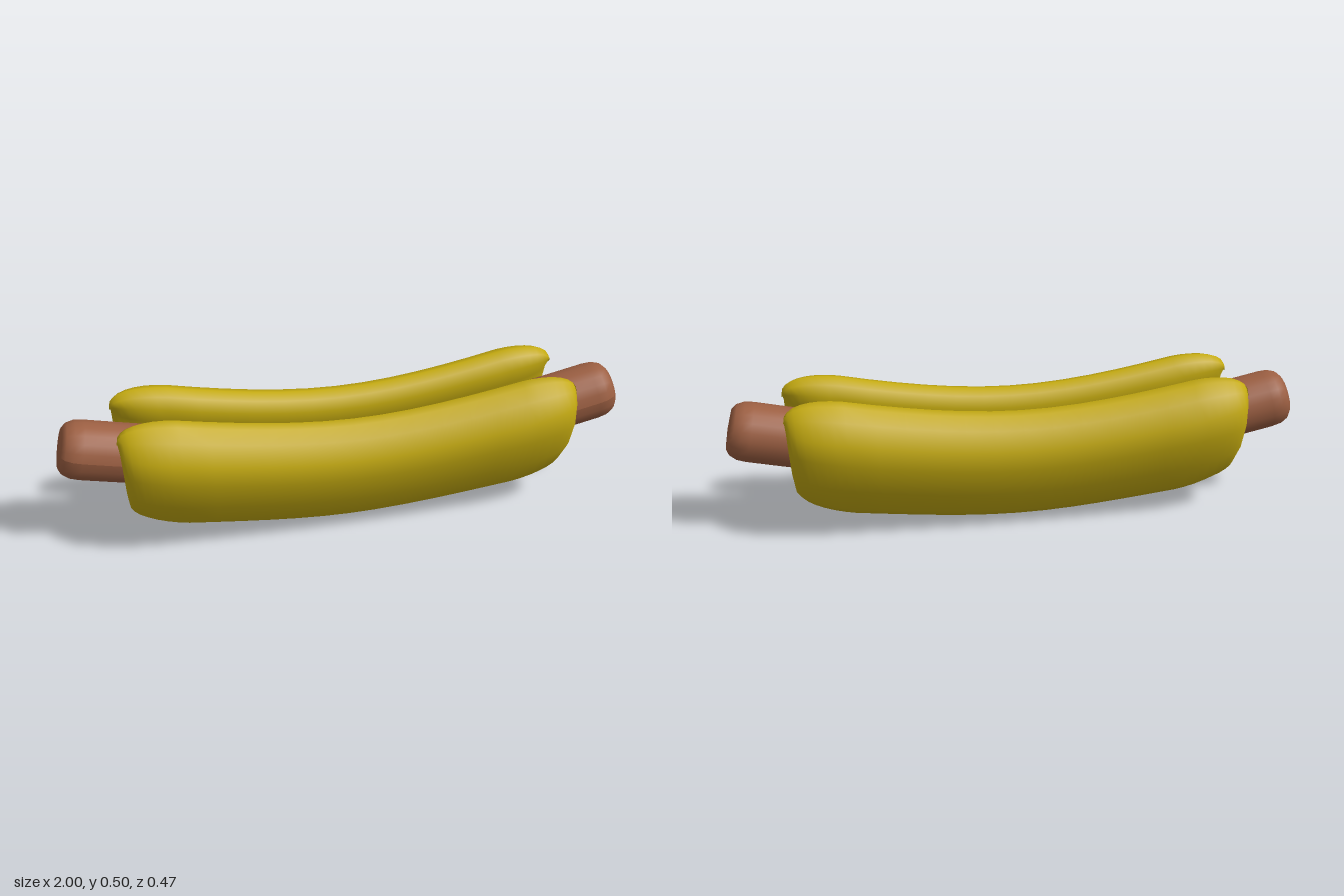
import * as THREE from 'three';

// Upward sweep shared by sausage and bun
const lift = (x) => Math.hypot(0.1, 0.24 * x) - 0.1;
const slope = (x) => (0.0576 * x) / Math.hypot(0.1, 0.24 * x);

function createSausage() {
  const profile = [[0, -0.972], [0.068, -0.968], [0.086, -0.955], [0.098, -0.93], [0.101, -0.9]];
  for (let i = 1; i < 20; i++) profile.push([0.101, -0.9 + i * 0.09]);
  profile.push([0.101, 0.9], [0.098, 0.93], [0.086, 0.955], [0.068, 0.968], [0, 0.972]);
  const geo = new THREE.LatheGeometry(profile.map((p) => new THREE.Vector2(...p)), 20);
  geo.rotateZ(-Math.PI / 2);
  // Bend along the sweep, keeping the ends square to it
  const pos = geo.attributes.position;
  for (let i = 0; i < pos.count; i++) {
    const x = pos.getX(i), y = pos.getY(i);
    pos.setXYZ(i, (x - slope(x) * y) * 1.015, 0.22 + lift(x) + y, pos.getZ(i));
  }
  geo.computeVertexNormals();
  const mesh = new THREE.Mesh(geo, new THREE.MeshStandardMaterial({ color: 0x9c5f42 }));
  mesh.name = 'sausage';
  return mesh;
}

function createBun() {
  // Half of the U section as [z, y]: outer side, tip, inner side
  const half = [
    [0, 0], [0.065, 0.01], [0.125, 0.05], [0.185, 0.14], [0.22, 0.24], [0.222, 0.31], [0.19, 0.375], [0.15, 0.413],
    [0.115, 0.42],
    [0.083, 0.4], [0.066, 0.36], [0.075, 0.31], [0.1, 0.25], [0.092, 0.19], [0.065, 0.15], [0.035, 0.134], [0, 0.13],
  ];
  const last = half.length - 1;
  // Each point has a partner across the dough; their middle is the core the ends round into
  const points = half.map(([z, y], i) => {
    const [z2, y2] = half[last - i];
    const arm = Math.min(i, last - i) / 8;
    return { z, y, coreZ: i === 8 ? 0.135 : (z + z2) / 2, coreY: Math.min(0.33, (y + y2) / 2), reach: 1 - 0.06 * (1 - arm) ** 2 };
  });
  const mirrored = points.slice(1, last).reverse().map((p) => ({ ...p, z: -p.z, coreZ: -p.coreZ }));
  const ring = [...points, ...mirrored];
  const n = ring.length;

  // Stations along the length, closing with a quarter ellipse at each end
  const stations = [];
  for (let i = 0; i <= 6; i++) stations.push([i * 0.1, 1]);
  for (let i = 1; i <= 8; i++) {
    const a = (i / 8) * Math.PI / 2;
    stations.push([0.6 + 0.2 * Math.sin(a), i === 8 ? 0 : Math.cos(a) ** 0.8]);
  }
  const all = [...stations.slice(1).reverse().map(([x, f]) => [-x, f]), ...stations];

  const verts = [], index = [];
  all.forEach(([x, f], i) => {
    const s = 1 + 0.06 * Math.min(1, (x / 0.6) ** 2);
    for (let j = 0; j < n; j++) {
      const p = ring[j];
      const z = p.coreZ + (p.z - p.coreZ) * f;
      const y = p.coreY + (p.y - p.coreY) * f;
      verts.push(x * p.reach, 0.21 + (y - 0.21) * s + 0.8 * lift(x), z * s);
      if (i === all.length - 1) continue;
      const a = i * n + j, b = i * n + (j + 1) % n;
      index.push(a, a + n, b, b, a + n, b + n);
    }
  });
  const geo = new THREE.BufferGeometry();
  geo.setAttribute('position', new THREE.Float32BufferAttribute(verts, 3));
  geo.setIndex(index);
  geo.computeVertexNormals();
  const mesh = new THREE.Mesh(geo, new THREE.MeshStandardMaterial({ color: 0xc4aa10 }));
  mesh.name = 'bun';
  return mesh;
}

export function createModel() {
  const group = new THREE.Group();
  group.name = 'hotDog';
  group.add(createBun(), createSausage());
  return group;
}
